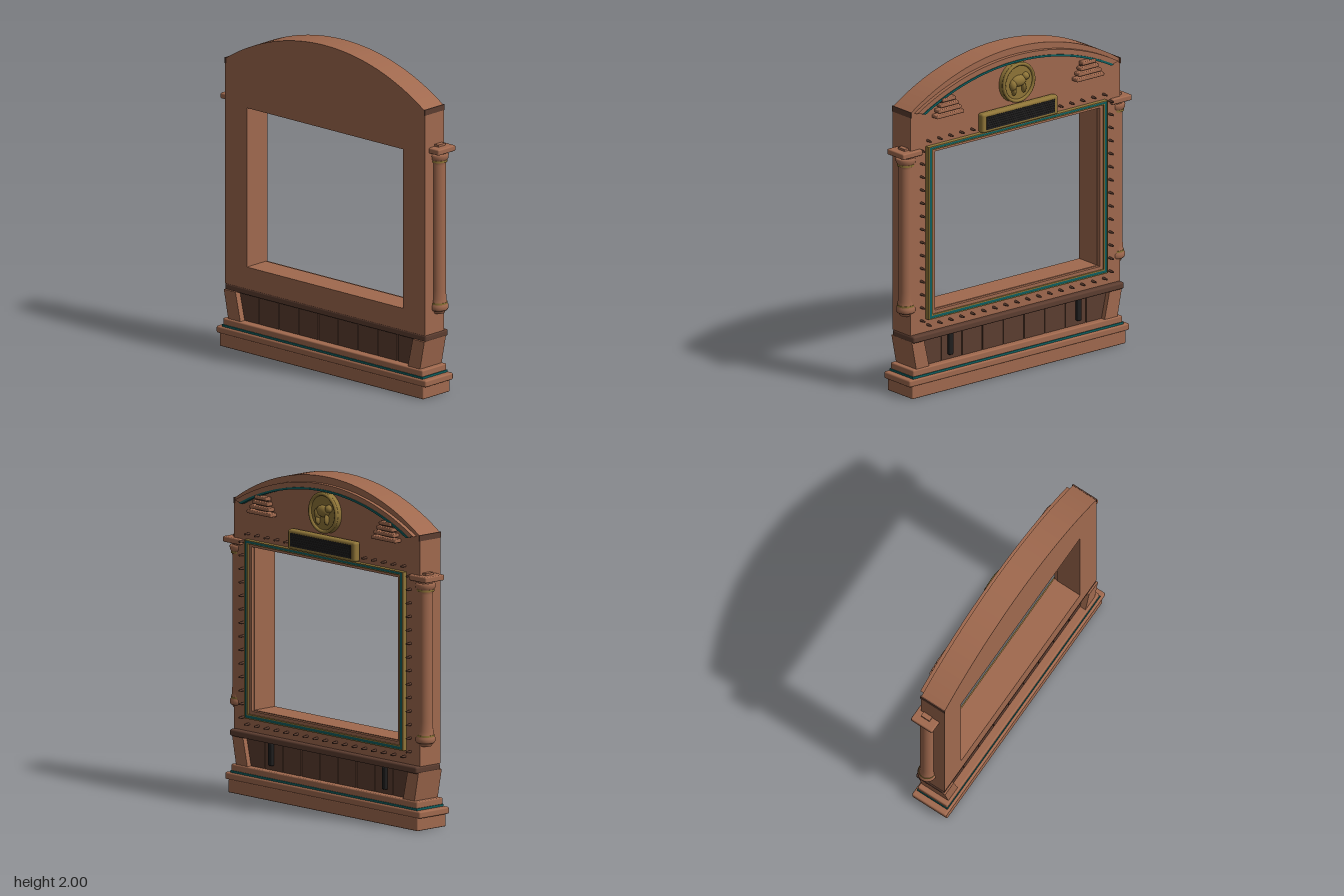
import * as THREE from 'three';
import { RoundedBoxGeometry } from 'three/addons/geometries/RoundedBoxGeometry.js';

const material = (name, color) => {
  const m = new THREE.MeshStandardMaterial({ color });
  m.name = name;
  return m;
};

export function createModel() {
  const wood = material('warm wood', 0xa0694e);
  const darkWood = material('dark wood', 0x5c3d30);
  const teal = material('teal trim', 0x0f5f5f);
  const brass = material('brass', 0x8f7538);
  const black = material('black panel', 0x1f1e1e);
  const model = new THREE.Group();

  const add = (name, geo, mat, x = 0, y = 0, z = 0) => {
    const mesh = new THREE.Mesh(geo, mat);
    mesh.name = name;
    mesh.position.set(x, y, z);
    model.add(mesh);
    return mesh;
  };
  // Box given by its limits, with optionally rounded edges
  const block = (name, mat, x0, x1, y0, y1, z0, z1, r = 0) => {
    const size = [x1 - x0, y1 - y0, z1 - z0];
    const geo = r ? new RoundedBoxGeometry(...size, 2, r) : new THREE.BoxGeometry(...size);
    return add(name, geo, mat, (x0 + x1) / 2, (y0 + y1) / 2, (z0 + z1) / 2);
  };
  const extrude = (name, shape, mat, z0, z1) => add(name, new THREE.ExtrudeGeometry(shape,
    { depth: z1 - z0, bevelEnabled: false, curveSegments: 40 }), mat, 0, 0, z0);
  const rectPath = (path, w, y0, y1) => {
    path.moveTo(-w, y0);
    path.lineTo(w, y0);
    path.lineTo(w, y1);
    path.lineTo(-w, y1);
    path.closePath();
    return path;
  };
  // Points along a shallow arch from +half to -half
  const archPoints = (half, spring, top) => {
    const rise = top - spring;
    const r = (half * half + rise * rise) / (2 * rise);
    const a = Math.asin(half / r);
    return Array.from({ length: 41 }, (_, i) => {
      const t = a - (2 * a * i) / 40;
      return new THREE.Vector2(r * Math.sin(t), top - r + r * Math.cos(t));
    });
  };
  const archBand = (outer, inner) =>
    new THREE.Shape([...archPoints(...outer), ...archPoints(...inner).reverse()]);

  // Stepped plinth
  block('plinth', wood, -0.815, 0.815, 0, 0.08, -0.105, 0.125, 0.006);
  block('plinthMoulding', wood, -0.84, 0.84, 0.078, 0.12, -0.11, 0.13, 0.01);
  block('plinthTealLine', teal, -0.803, 0.803, 0.119, 0.133, -0.098, 0.118);
  block('plinthTop', wood, -0.8, 0.8, 0.13, 0.172, -0.095, 0.115, 0.008);

  // Planked skirt with narrow gaps, one row on each face
  const pitch = 0.158;
  for (let i = -4; i <= 4; i++) {
    for (const z of [-0.045, 0.055]) {
      block('skirtPlank', darkWood, i * pitch - 0.076, i * pitch + 0.076, 0.17, 0.345, z - 0.01, z + 0.01);
    }
  }

  // Flared corner posts and the small corbels behind
  for (const s of [-1, 1]) {
    const post = new THREE.Shape([[0.67, 0.17], [0.768, 0.17], [0.803, 0.345], [0.71, 0.345]]
      .map(([x, y]) => new THREE.Vector2(s * x, y)));
    extrude('skirtPost', post, wood, -0.085, 0.102);
    block('skirtCorbel', black, s * 0.49 - 0.016, s * 0.49 + 0.016, 0.2, 0.335, -0.075, -0.05, 0.006);
  }
  block('ledge', darkWood, -0.805, 0.805, 0.34, 0.382, -0.105, 0.092, 0.012);

  // Arched wall with the large opening
  const wall = new THREE.Shape([new THREE.Vector2(-0.8, 0.38), new THREE.Vector2(0.8, 0.38),
    new THREE.Vector2(0.8, 1.76), ...archPoints(0.795, 1.762, 2), new THREE.Vector2(-0.8, 1.76)]);
  wall.holes.push(rectPath(new THREE.Path(), 0.625, 0.515, 1.49));
  extrude('archedWall', wall, wood, -0.07, 0.095);

  // Arch mouldings on the back
  extrude('archMoulding', archBand([0.77, 1.755, 1.958], [0.72, 1.745, 1.925]), wood, -0.095, -0.07);
  extrude('archTealLine', archBand([0.73, 1.745, 1.927], [0.71, 1.74, 1.915]), teal, -0.1, -0.07);
  for (const s of [-1, 1]) {
    block('sideCornice', darkWood, s * 0.798 - 0.004, s * 0.798 + 0.004, 1.73, 1.765, -0.075, 0.097);
  }

  // Nested frame around the opening, on the back
  const ring = (name, mat, w0, w1, z) => {
    // Each size is a half width; the height follows with the same margin
    const rect = (path, w) => rectPath(path, w, 0.515 - (w - 0.625) * 0.9, 1.49 + (w - 0.625) * 0.7);
    const shape = rect(new THREE.Shape(), w1);
    shape.holes.push(rect(new THREE.Path(), w0));
    extrude(name, shape, mat, z, -0.07);
  };
  ring('frameOuterBrass', brass, 0.678, 0.684, -0.1);
  ring('frameTeal', teal, 0.66, 0.678, -0.098);
  ring('frameInnerBrass', brass, 0.652, 0.66, -0.1);
  ring('frameWood', wood, 0.63, 0.652, -0.09);

  // Rivets around the frame
  const rivetGeo = new THREE.CylinderGeometry(0.006, 0.008, 0.035, 8).rotateX(-Math.PI / 2);
  const rivet = (x, y) => add('rivet', rivetGeo, darkWood, x, y, -0.0875);
  for (let i = 0; i < 14; i++) {
    for (const s of [-1, 1]) rivet(s * 0.72, 0.46 + i * 0.081);
  }
  for (let i = -8; i <= 8; i++) {
    rivet(i * 0.084, 0.425);
    if (Math.abs(i) > 3) rivet(i * 0.084, 1.565);
  }

  // Side columns with brass collars and cap blocks
  const profile = [[0, 0.52], [0.052, 0.52], [0.058, 0.53], [0.058, 0.55], [0.05, 0.56], [0.046, 0.59],
    [0.043, 0.65], [0.043, 1.41], [0.046, 1.425], [0.05, 1.44], [0.058, 1.45], [0.06, 1.47],
    [0.055, 1.478], [0, 1.478]].map(([r, y]) => new THREE.Vector2(r, y));
  const columnGeo = new THREE.LatheGeometry(profile, 28);
  const collarGeo = new THREE.CylinderGeometry(0.052, 0.052, 0.012, 28);
  for (const s of [-1, 1]) {
    const x = s * 0.8;
    add('column', columnGeo, wood, x, 0, -0.025);
    add('columnCollar', collarGeo, brass, x, 1.434, -0.025);
    add('columnCollar', collarGeo, brass, x, 0.562, -0.025);
    add('columnNeck', new THREE.CylinderGeometry(0.045, 0.045, 0.02, 28), wood, x, 1.483, -0.025);
    add('columnFoot', new THREE.CylinderGeometry(0.045, 0.035, 0.02, 28), wood, x, 0.51, -0.025);
    block('columnCap', wood, x - 0.075, x + 0.075, 1.49, 1.525, -0.093, 0.057, 0.008);
    block('columnCapTop', wood, x - 0.03, x + 0.03, 1.524, 1.538, -0.05, 0.01);
  }

  // Brass plaque with a black ribbed panel
  block('plaque', brass, -0.29, 0.29, 1.535, 1.655, -0.12, -0.07, 0.015);
  block('plaquePanel', black, -0.26, 0.26, 1.555, 1.635, -0.124, -0.117);
  for (let i = 0; i < 5; i++) {
    block('plaqueRib', black, -0.255, 0.255, 1.564 + i * 0.014, 1.569 + i * 0.014, -0.127, -0.122);
  }

  // Round medallion with a soft raised relief
  add('medallion', new THREE.CylinderGeometry(0.12, 0.125, 0.03, 40).rotateX(-Math.PI / 2), brass, 0, 1.79, -0.085);
  add('medallionRim', new THREE.TorusGeometry(0.113, 0.011, 8, 40), brass, 0, 1.79, -0.102);
  const bump = new THREE.SphereGeometry(1, 16, 10);
  for (const [x, y, w, h] of [[0, 0.01, 0.055, 0.035], [-0.05, 0.03, 0.026, 0.024], [0.045, -0.01, 0.024, 0.035],
    [-0.035, -0.035, 0.013, 0.035], [0.04, -0.045, 0.013, 0.03]]) {
    add('medallionRelief', bump, brass, x, 1.79 + y, -0.1).scale.set(w, h, 0.026);
  }

  // Stepped ornaments either side of the medallion
  for (const s of [-1, 1]) {
    for (let i = 0; i < 4; i++) {
      const half = 0.105 - i * 0.018, x = s * 0.535, y = 1.7 + i * 0.03;
      block('steppedOrnament', wood, x - half, x + half, y, y + 0.022, -0.122 + i * 0.004, -0.07, 0.006);
    }
    block('ornamentBacking', darkWood, s * 0.535 - 0.05, s * 0.535 + 0.05, 1.7, 1.81, -0.09, -0.07);
  }
  return model;
}
